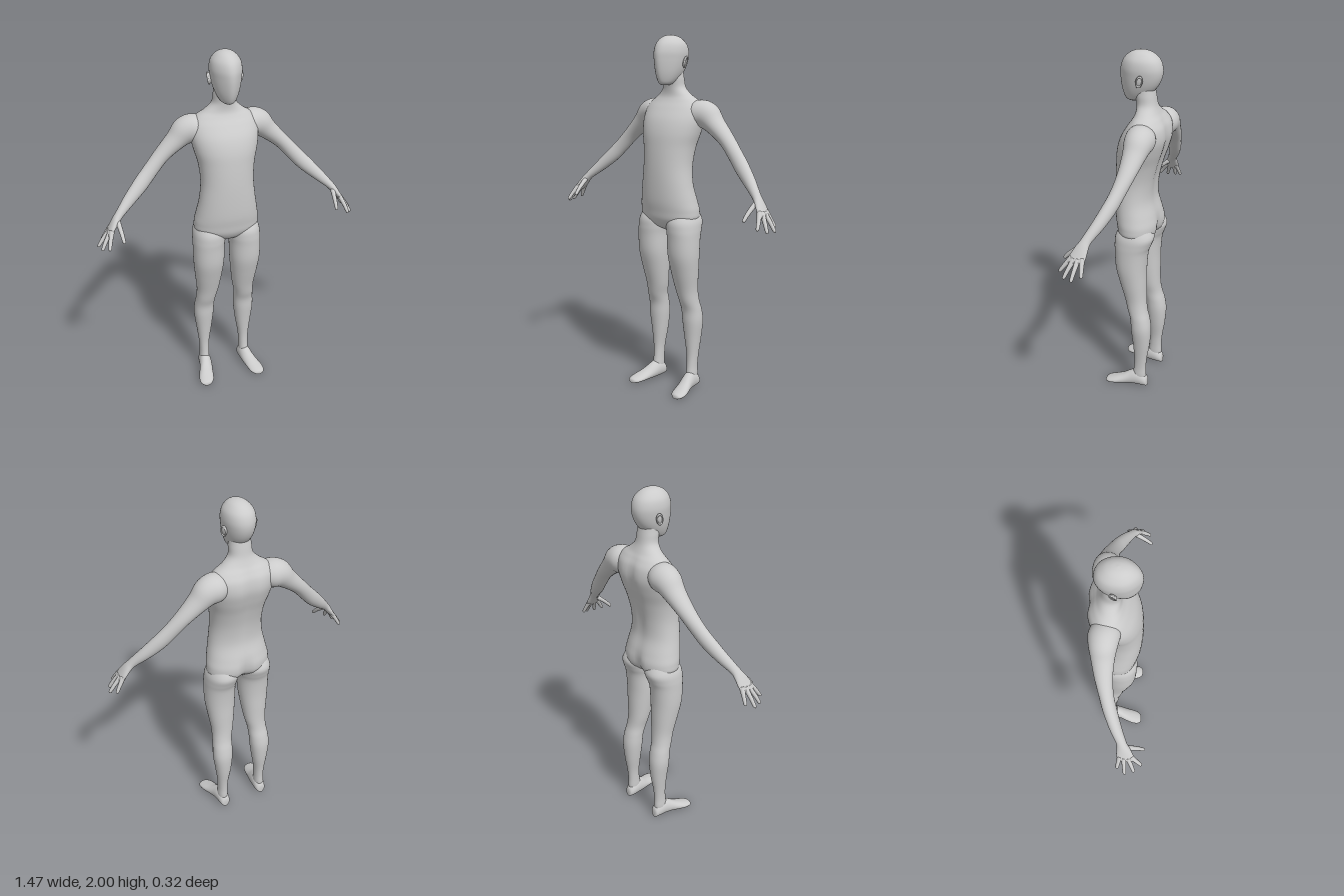
import * as THREE from 'three';

const SEGS = 36;
const material = new THREE.MeshStandardMaterial({ color: 0xcccccc, side: THREE.DoubleSide });

// Signed power: bends a circle into a superellipse
const bend = (v, p) => Math.sign(v) * Math.pow(Math.abs(v), 2 / p);

// Smoothly interpolate rows of numbers (Catmull-Rom)
function refine(keys, steps) {
  const rows = [];
  const last = keys.length - 1;
  for (let i = 0; i < last; i++) {
    const [a, b, c, d] = [keys[Math.max(i - 1, 0)], keys[i], keys[i + 1], keys[Math.min(i + 2, last)]];
    for (let s = 0; s < steps; s++) {
      const t = s / steps;
      rows.push(b.map((_, k) => 0.5 * (2 * b[k] + (c[k] - a[k]) * t
        + (2 * a[k] - 5 * b[k] + 4 * c[k] - d[k]) * t * t
        + (3 * b[k] - a[k] - 3 * c[k] + d[k]) * t * t * t)));
    }
  }
  rows.push(keys[last]);
  return rows;
}

// Skin a closed body over rows; ring(row, angle, index, rows) gives a surface point
function loft(name, keys, ring, side = 1, steps = 5, segs = SEGS) {
  const rows = refine(keys, steps);
  const pts = [];
  rows.forEach((row, i) => {
    for (let j = 0; j < segs; j++) {
      const p = ring(row, (j / segs) * Math.PI * 2, i, rows);
      pts.push(new THREE.Vector3(p[0] * side, p[1], p[2]));
    }
  });
  const tris = [];
  const n = rows.length;
  for (let i = 0; i < n - 1; i++) {
    for (let j = 0; j < segs; j++) {
      const a = i * segs + j, b = i * segs + (j + 1) % segs;
      tris.push([a, b, a + segs], [b, b + segs, a + segs]);
    }
  }
  // Close both ends with a fan around the ring centre
  for (const start of [0, (n - 1) * segs]) {
    const c = new THREE.Vector3();
    for (let j = 0; j < segs; j++) c.addScaledVector(pts[start + j], 1 / segs);
    pts.push(c);
    for (let j = 0; j < segs; j++) {
      const t = [start + j, pts.length - 1, start + (j + 1) % segs];
      tris.push(start ? t.reverse() : t);
    }
  }
  // Turn the faces outward
  let volume = 0;
  const cross = new THREE.Vector3();
  for (const [a, b, c] of tris) volume += pts[a].dot(cross.crossVectors(pts[b], pts[c]));
  if (volume < 0) tris.forEach((t) => t.reverse());
  const geo = new THREE.BufferGeometry().setFromPoints(pts);
  geo.setIndex(tris.flat());
  geo.computeVertexNormals();
  const mesh = new THREE.Mesh(geo, material);
  mesh.name = name;
  return mesh;
}

// Level ring, row: y, centre x, half width, front z, back z, front narrowing, back groove
function levelRing([y, xc, rx, zf, zb, taper = 0, groove = 0], a) {
  const s = Math.sin(a), c = Math.cos(a);
  const x = rx * bend(c, 2.15) * (1 - taper * Math.max(s, 0) ** 2);
  let z = (zf + zb) / 2 + ((zf - zb) / 2) * bend(s, 2.15);
  if (s < 0) z += groove * Math.exp(-((x / 0.035) ** 2));
  return [xc + x, y, z];
}

// Ring across a limb, row: x, y, z, radius in the front plane, radius in depth
function limbRing([x, y, z, r, rz], a, i, rows) {
  const p = rows[Math.max(i - 1, 0)], q = rows[Math.min(i + 1, rows.length - 1)];
  const dx = q[0] - p[0], dy = q[1] - p[1], len = Math.hypot(dx, dy) || 1;
  const u = r * Math.cos(a);
  return [x - (dy / len) * u, y + (dx / len) * u, z + rz * Math.sin(a)];
}

// Upright ring with its lowest point on the ground, row: z, centre x, half width, height
function footRing([z, xc, rx, h], a) {
  const s = Math.sin(a);
  const narrowing = s > 0 ? 1 - 0.25 * s : 1;
  return [xc + rx * bend(Math.cos(a), 2.4) * narrowing, (h / 2) * (1 + bend(s, 2.4)), z];
}

const TORSO = [
  [0.935, 0, 0.02, 0.03, -0.03, 0, 0], [0.96, 0, 0.09, 0.075, -0.075, 0, 0.02],
  [1.0, 0, 0.174, 0.102, -0.116, 0, 0.025], [1.05, 0, 0.184, 0.112, -0.125, 0, 0.02],
  [1.11, 0, 0.174, 0.121, -0.113, 0, 0.008], [1.2, 0, 0.157, 0.125, -0.091, 0, 0.006],
  [1.3, 0, 0.147, 0.125, -0.098, 0, 0.01], [1.4, 0, 0.155, 0.12, -0.122, 0, 0.013],
  [1.48, 0, 0.175, 0.111, -0.148, 0, 0.015], [1.55, 0, 0.187, 0.089, -0.164, 0, 0.015],
  [1.61, 0, 0.182, 0.053, -0.157, 0, 0.012], [1.65, 0, 0.152, 0.025, -0.134, 0, 0.006],
  [1.68, 0, 0.107, 0.012, -0.112, 0, 0], [1.72, 0, 0.067, 0.012, -0.096, 0, 0],
  [1.77, 0, 0.06, 0.02, -0.087, 0, 0], [1.81, 0, 0.056, 0.02, -0.08, 0, 0],
];
const HEAD = [
  [1.735, 0, 0.018, 0.062, 0.01, 0.2], [1.745, 0, 0.036, 0.078, -0.02, 0.3],
  [1.765, 0, 0.05, 0.089, -0.05, 0.35], [1.795, 0, 0.063, 0.098, -0.08, 0.35],
  [1.83, 0, 0.073, 0.104, -0.105, 0.35], [1.87, 0, 0.08, 0.107, -0.12, 0.35],
  [1.91, 0, 0.083, 0.104, -0.122, 0.3], [1.95, 0, 0.075, 0.088, -0.108, 0.25],
  [1.98, 0, 0.052, 0.058, -0.078, 0.15], [1.995, 0, 0.027, 0.025, -0.045, 0],
  [2.0, 0, 0.002, -0.008, -0.012, 0],
];
const LEG = [
  [1.06, 0.09, 0.07, 0.06, -0.09], [1.0, 0.098, 0.09, 0.096, -0.119],
  [0.95, 0.103, 0.092, 0.102, -0.106], [0.9, 0.107, 0.089, 0.1, -0.089],
  [0.8, 0.108, 0.087, 0.094, -0.08], [0.7, 0.108, 0.077, 0.07, -0.08],
  [0.6, 0.109, 0.064, 0.042, -0.082], [0.53, 0.117, 0.057, 0.024, -0.09],
  [0.47, 0.122, 0.058, 0.005, -0.106], [0.4, 0.125, 0.058, 0, -0.116],
  [0.3, 0.125, 0.046, -0.01, -0.11], [0.2, 0.127, 0.032, -0.018, -0.095],
  [0.13, 0.127, 0.028, -0.016, -0.089], [0.08, 0.128, 0.029, -0.01, -0.09],
  [0.04, 0.128, 0.027, -0.01, -0.088],
];
const FOOT = [
  [-0.1, 0.127, 0.012, 0.035], [-0.094, 0.127, 0.026, 0.06], [-0.07, 0.127, 0.034, 0.085],
  [-0.03, 0.13, 0.037, 0.1], [0.01, 0.136, 0.039, 0.083], [0.05, 0.147, 0.042, 0.06],
  [0.09, 0.157, 0.045, 0.044], [0.125, 0.163, 0.041, 0.032], [0.145, 0.166, 0.027, 0.024],
  [0.151, 0.166, 0.01, 0.014],
];
const ARM = [
  [0.09, 1.59, -0.06, 0.05, 0.06], [0.15, 1.583, -0.068, 0.075, 0.08],
  [0.205, 1.57, -0.073, 0.075, 0.074], [0.26, 1.524, -0.073, 0.055, 0.06],
  [0.34, 1.452, -0.066, 0.042, 0.046], [0.41, 1.377, -0.049, 0.041, 0.038],
  [0.47, 1.315, -0.028, 0.041, 0.037], [0.54, 1.25, 0.002, 0.033, 0.033],
  [0.6, 1.194, 0.034, 0.023, 0.028], [0.625, 1.166, 0.046, 0.02, 0.035],
  [0.65, 1.132, 0.055, 0.016, 0.044], [0.668, 1.108, 0.06, 0.012, 0.043],
  [0.676, 1.098, 0.06, 0.005, 0.034],
];
// Digits: base, middle, tip
const DIGITS = {
  thumb: [[0.618, 1.165, 0.06], [0.61, 1.115, 0.122], [0.606, 1.078, 0.157]],
  indexFinger: [[0.655, 1.125, 0.085], [0.672, 1.082, 0.118], [0.684, 1.042, 0.146]],
  middleFinger: [[0.66, 1.12, 0.07], [0.692, 1.073, 0.09], [0.718, 1.027, 0.107]],
  ringFinger: [[0.66, 1.12, 0.05], [0.7, 1.073, 0.054], [0.733, 1.027, 0.058]],
  littleFinger: [[0.655, 1.125, 0.03], [0.682, 1.083, 0.022], [0.705, 1.043, 0.015]],
};

// Tapered finger with a rounded tip, built around its own direction
function digit(name, [base, mid, tip], side) {
  const curve = new THREE.CatmullRomCurve3([base, mid, tip].map((p) => new THREE.Vector3(...p)));
  const keys = [[0, 0.014], [0.3, 0.012], [0.6, 0.0105], [0.88, 0.009], [0.96, 0.0065], [1, 0.001]];
  return loft(name, keys, ([t, r], a) => {
    const p = curve.getPoint(Math.min(Math.max(t, 0), 1));
    const d = curve.getTangent(Math.min(Math.max(t, 0), 1));
    const u = new THREE.Vector3(1, 0.7, 0).cross(d).normalize();
    const v = d.clone().cross(u);
    return p.addScaledVector(u, r * Math.cos(a)).addScaledVector(v, r * Math.sin(a)).toArray();
  }, side, 3, 14);
}

// Flattened ear with a raised rim
function ear(side) {
  const group = new THREE.Group();
  const shell = new THREE.Mesh(new THREE.SphereGeometry(1, 20, 14), material);
  shell.scale.set(0.009, 0.03, 0.017);
  const rim = new THREE.Mesh(new THREE.TorusGeometry(0.022, 0.005, 10, 24), material);
  rim.rotation.y = Math.PI / 2;
  rim.scale.set(0.7, 1.25, 1);
  rim.position.x = side * 0.005;
  group.add(shell, rim);
  group.position.set(side * 0.083, 1.857, -0.028);
  group.rotation.set(-0.2, side * 0.35, -side * 0.12);
  return group;
}

export function createModel() {
  const model = new THREE.Group();
  model.name = 'humanFigure';
  model.add(loft('torsoAndNeck', TORSO, levelRing, 1, 6, 48));
  model.add(loft('head', HEAD, levelRing, 1, 6, 48));
  for (const [label, side] of [['left', 1], ['right', -1]]) {
    model.add(loft(label + 'Leg', LEG, levelRing, side));
    model.add(loft(label + 'Foot', FOOT, footRing, side));
    model.add(loft(label + 'Arm', ARM, limbRing, side));
    for (const [name, path] of Object.entries(DIGITS)) model.add(digit(`${label} ${name}`, path, side));
    const e = ear(side);
    e.name = label + 'Ear';
    model.add(e);
  }
  return model;
}
